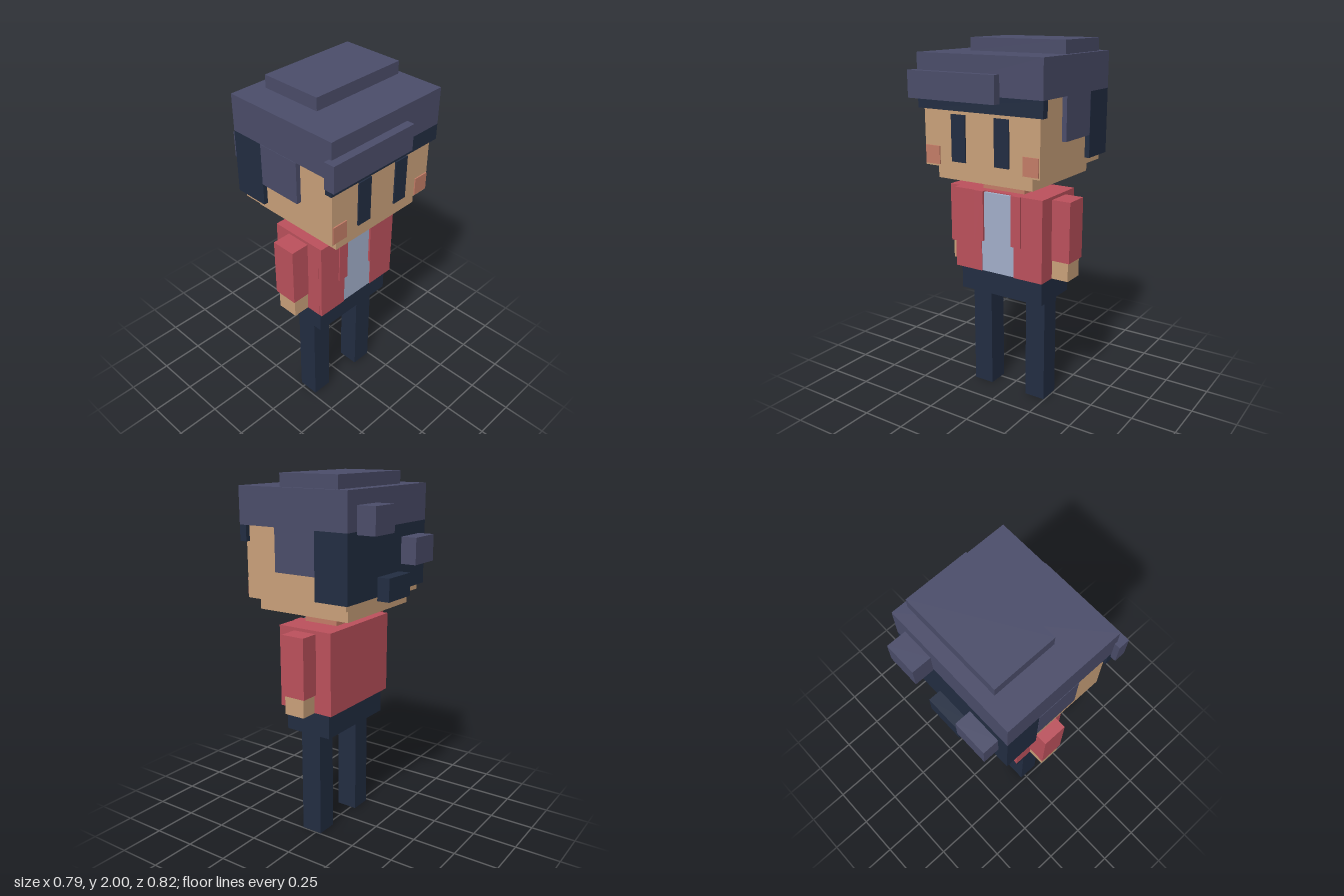
import * as THREE from 'three';

const material = (name, color) => {
  const m = new THREE.MeshStandardMaterial({ color });
  m.name = name;
  return m;
};

export function createModel() {
  const skin = material('skin', 0xcaa17a);
  const blush = material('blush', 0xc47d67);
  const hair = material('slate hair', 0x4b4d6a);
  const navy = material('navy', 0x222d42);
  const red = material('red jacket', 0xbc515c);
  const pale = material('pale shirt', 0xa3afca);

  const model = new THREE.Group();
  model.name = 'blockFigure';

  const group = (name) => {
    const g = new THREE.Group();
    g.name = name;
    model.add(g);
    return g;
  };

  // Box given by its extents along x, y and z
  const box = (parent, name, mat, [x0, x1], [y0, y1], [z0, z1]) => {
    const mesh = new THREE.Mesh(new THREE.BoxGeometry(x1 - x0, y1 - y0, z1 - z0), mat);
    mesh.position.set((x0 + x1) / 2, (y0 + y1) / 2, (z0 + z1) / 2);
    mesh.name = name;
    parent.add(mesh);
  };

  // The body is symmetric about a plane slightly off the origin
  const AXIS = 0.0065;
  const pair = (parent, name, mat, [a, b], y, z) => {
    box(parent, 'left' + name, mat, [AXIS + a, AXIS + b], y, z);
    box(parent, 'right' + name, mat, [AXIS - b, AXIS - a], y, z);
  };

  // Legs and hips
  const lower = group('trousers');
  pair(lower, 'Leg', navy, [0.117, 0.238], [0, 0.61], [-0.03, 0.093]);
  box(lower, 'hips', navy, [-0.256, 0.27], [0.61, 0.75], [-0.11, 0.17]);

  // Open jacket over a shirt
  const torso = group('torso');
  box(torso, 'jacketBack', red, [-0.275, 0.287], [0.748, 1.205], [-0.135, 0.18]);
  pair(torso, 'JacketFront', red, [0.105, 0.2805], [0.748, 1.205], [0.18, 0.199]);
  pair(torso, 'Lapel', red, [0.089, 0.15], [0.925, 1.205], [0.18, 0.206]);
  box(torso, 'shirt', pale, [AXIS - 0.105, AXIS + 0.105], [0.75, 1.2], [0.18, 0.195]);

  // Arms
  const arms = group('arms');
  pair(arms, 'Sleeve', red, [0.2805, 0.388], [0.853, 1.188], [-0.04, 0.1]);
  pair(arms, 'Hand', skin, [0.2805, 0.378], [0.748, 0.853], [-0.028, 0.093]);

  // Head and face
  const head = group('head');
  box(head, 'neck', blush, [-0.126, 0.139], [1.2, 1.28], [-0.07, 0.138]);
  box(head, 'jaw', skin, [-0.286, 0.299], [1.28, 1.35], [-0.25, 0.316]);
  box(head, 'face', skin, [-0.346, 0.359], [1.35, 1.735], [-0.278, 0.345]);
  pair(head, 'Eye', navy, [0.089, 0.176], [1.385, 1.63], [0.345, 0.353]);
  pair(head, 'Cheek', blush, [0.256, 0.347], [1.36, 1.457], [0.345, 0.352]);

  // Hair
  const hairdo = group('hair');
  const full = [-0.37, 0.386];
  box(hairdo, 'hairCap', hair, full, [1.735, 1.932], [-0.305, 0.366]);
  box(hairdo, 'hairCrown', hair, [-0.212, 0.36], [1.932, 2], [-0.235, 0.117]);
  box(hairdo, 'fringeShade', navy, full, [1.65, 1.735], [0.325, 0.366]);
  box(hairdo, 'fringe', hair, [-0.4, 0.14], [1.703, 1.844], [0.35, 0.41]);
  pair(hairdo, 'Sideburn', hair, [0.345, 0.3785], [1.508, 1.735], [-0.11, 0.138]);
  box(hairdo, 'backHair', navy, full, [1.385, 1.735], [-0.305, -0.11]);

  // Tufts sticking out at the back
  box(hairdo, 'upperTuft', hair, [0.132, 0.307], [1.72, 1.86], [-0.41, -0.305]);
  box(hairdo, 'middleTuft', hair, [-0.309, -0.117], [1.525, 1.668], [-0.394, -0.305]);
  box(hairdo, 'lowerTuft', navy, [-0.098, 0.114], [1.365, 1.488], [-0.375, -0.305]);

  return model;
}
